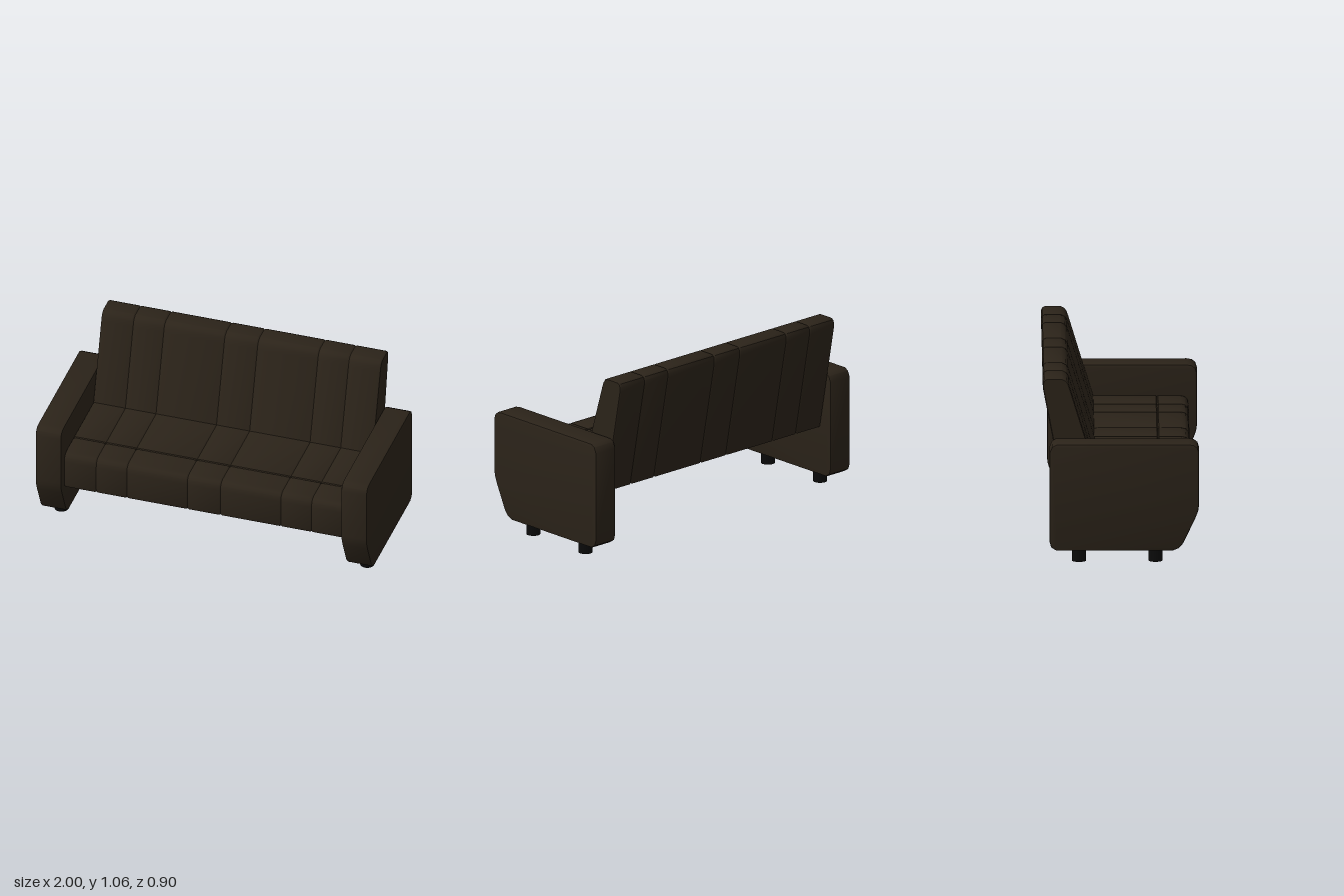
import * as THREE from 'three';
import { toCreasedNormals } from 'three/addons/utils/BufferGeometryUtils.js';

const leather = new THREE.MeshStandardMaterial({ color: 0x2b2319 });
const black = new THREE.MeshStandardMaterial({ color: 0x0a0a0a });

// Side profiles as [z, y] points
const ARM = [
  [0.45, 0.35], [0.45, 0.655], [0.44, 0.685], [0.42, 0.7], [0.39, 0.705],
  [-0.37, 0.705], [-0.395, 0.69], [-0.41, 0.655], [-0.41, 0.13], [-0.4, 0.095],
  [-0.37, 0.075], [0.3, 0.075], [0.335, 0.09], [0.36, 0.12], [0.43, 0.27], [0.445, 0.31],
];
const BACK = [
  [-0.1, 0.37], [-0.29, 1.0], [-0.3, 1.028], [-0.312, 1.045], [-0.335, 1.057],
  [-0.425, 1.057], [-0.44, 1.048], [-0.447, 1.03], [-0.447, 1.0], [-0.328, 0.37],
];
const FRONT_ROLL = [
  [0.22, 0.29], [0.385, 0.29], [0.397, 0.297], [0.402, 0.315], [0.402, 0.47],
  [0.396, 0.5], [0.38, 0.518], [0.355, 0.525], [0.226, 0.525], [0.22, 0.519],
];
const SEAT = [[-0.17, 0.43], [0.22, 0.43], [0.22, 0.519], [0.214, 0.525], [-0.17, 0.525]];

// Seams across the width of the upholstery
const SEAMS = [-0.842, -0.65, -0.465, -0.1, 0.1, 0.465, 0.65, 0.842];

// Extrude a side profile between two x positions, with softly bevelled ends
function slab(profile, x0, x1, bevelThickness, bevelSize, bevelSegments) {
  const shape = new THREE.Shape(profile.map(([z, y]) => new THREE.Vector2(z, y)));
  const depth = x1 - x0 - 2 * bevelThickness;
  const geo = new THREE.ExtrudeGeometry(shape, {
    depth, bevelThickness, bevelSize, bevelOffset: -bevelSize, bevelSegments, steps: 1,
  });
  geo.translate(0, 0, -depth / 2);
  geo.rotateY(-Math.PI / 2);
  geo.translate((x0 + x1) / 2, 0, 0);
  return new THREE.Mesh(toCreasedNormals(geo, 0.65), leather);
}

// A row of panels whose bevelled ends meet in shallow seams
function panels(name, profile) {
  const group = new THREE.Group();
  group.name = name;
  for (let i = 0; i < SEAMS.length - 1; i++) {
    const panel = slab(profile, SEAMS[i], SEAMS[i + 1], 0.008, 0.005, 1);
    panel.name = `${name}Panel`;
    group.add(panel);
  }
  return group;
}

export function createModel() {
  const sofa = new THREE.Group();
  sofa.name = 'sofa';

  sofa.add(panels('backrest', BACK), panels('seat', SEAT), panels('seatFront', FRONT_ROLL));

  // Arms, each standing on two round legs
  for (const side of [-1, 1]) {
    const label = side > 0 ? 'left' : 'right';
    const arm = slab(ARM, side * 0.9225 - 0.0775, side * 0.9225 + 0.0775, 0.008, 0.008, 2);
    arm.name = `${label}Arm`;
    sofa.add(arm);
    for (const z of [0.2, -0.24]) {
      const leg = new THREE.Mesh(new THREE.CylinderGeometry(0.041, 0.041, 0.08, 20), black);
      leg.name = `${label}${z > 0 ? 'Front' : 'Back'}Leg`;
      leg.position.set(side * 0.9225, 0.04, z);
      sofa.add(leg);
    }
  }
  return sofa;
}
